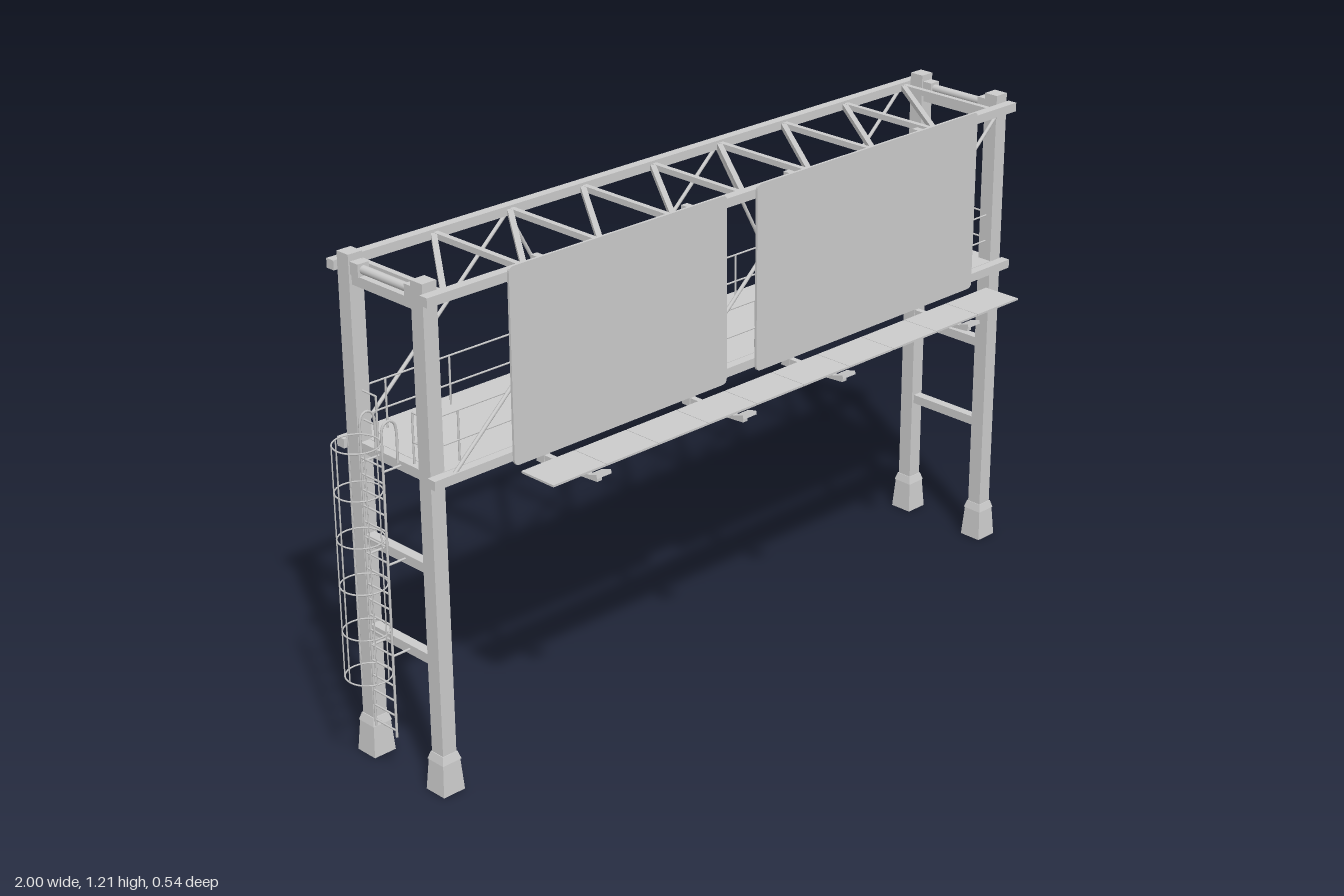
import * as THREE from 'three';

const mat = new THREE.MeshStandardMaterial({ color: 0xcccccc, side: THREE.DoubleSide });
const V = (x, y, z) => new THREE.Vector3(x, y, z);

function add(parent, name, geo, x = 0, y = 0, z = 0) {
  const m = new THREE.Mesh(geo, mat);
  m.name = name;
  m.position.set(x, y, z);
  parent.add(m);
  return m;
}

// Box given by its min and max corners
function box(parent, name, x0, x1, y0, y1, z0, z1) {
  return add(parent, name, new THREE.BoxGeometry(x1 - x0, y1 - y0, z1 - z0),
    (x0 + x1) / 2, (y0 + y1) / 2, (z0 + z1) / 2);
}

// Square bar between two points
function bar(parent, name, a, b, w, h = w) {
  const m = add(parent, name, new THREE.BoxGeometry(w, h, a.distanceTo(b)));
  m.position.lerpVectors(a, b, 0.5);
  m.lookAt(b);
  return m;
}

// Round rod between two points
function rod(parent, name, a, b, r, sides = 8) {
  const geo = new THREE.CylinderGeometry(r, r, a.distanceTo(b), sides).rotateX(Math.PI / 2);
  const m = add(parent, name, geo);
  m.position.lerpVectors(a, b, 0.5);
  m.lookAt(b);
  return m;
}

function group(parent, name) {
  const g = new THREE.Group();
  g.name = name;
  parent.add(g);
  return g;
}

const LEGX = [-0.847, 0.967], LEGZ = [0.02, -0.222];
const NODES = Array.from({ length: 9 }, (_, i) => -0.816 + i * 0.218);

function buildTowers(root) {
  for (const x of LEGX) {
    const g = group(root, 'endTower');
    for (const z of LEGZ) {
      box(g, 'post', x - 0.019, x + 0.019, 0.09, 1.203, z - 0.019, z + 0.019);
      // Tapered footing with a narrower collar
      const r = Math.SQRT1_2;
      const foot = new THREE.CylinderGeometry(0.049 * r, 0.06 * r, 0.078, 4).rotateY(Math.PI / 4).toNonIndexed();
      foot.computeVertexNormals();
      add(g, 'footing', foot, x, 0.039, z);
      const collar = new THREE.CylinderGeometry(0.042 * r, 0.053 * r, 0.019, 4).rotateY(Math.PI / 4).toNonIndexed();
      collar.computeVertexNormals();
      add(g, 'footingCollar', collar, x, 0.0865, z);
    }
    for (const y of [0.32, 0.541, 0.761, 1.147])
      box(g, 'towerCrossBeam', x - 0.012, x + 0.012, y - 0.012, y + 0.011, -0.205, 0.003);
    // Round tie with end blocks at the top
    rod(g, 'topTie', V(x, 1.172, -0.2), V(x, 1.172, 0), 0.01, 12);
    for (const z of [-0.19, -0.012])
      box(g, 'tieBlock', x - 0.015, x + 0.015, 1.157, 1.187, z - 0.013, z + 0.013);
  }
}

function buildTruss(root) {
  const g = group(root, 'truss');
  for (const y of [0.761, 1.171]) {
    for (const z of [0.052, -0.254])
      box(g, 'chord', -0.875, 0.993, y - 0.011, y + 0.011, z - 0.012, z + 0.012);
    // Struts and diagonals lying between the two chords
    NODES.forEach((x, i) => {
      bar(g, 'strut', V(x, y - 0.002, -0.242), V(x, y - 0.002, 0.04), 0.014);
      if (i < 8) bar(g, 'diagonal', V(x + 0.008, y - 0.002, 0.036), V(NODES[i + 1] - 0.008, y - 0.002, -0.238), 0.013);
    });
  }
  // Thin zigzag rods on the front and rear faces
  const low = 0.768, high = 1.163;
  const zig = [[0, low], [2, high], [3, low], [5, high], [6, low], [8, high]];
  for (const z of [0.056, -0.258])
    for (let i = 0; i < 5; i++) {
      const [a, ya] = zig[i], [b, yb] = zig[i + 1];
      rod(g, 'braceRod', V(NODES[a], ya, z), V(NODES[b], yb, z), 0.0045);
    }
}

function buildDeck(root) {
  const g = group(root, 'walkway');
  box(g, 'deck', -0.835, 0.955, 0.767, 0.773, -0.243, 0.041);
  // Side railings
  for (const z of LEGZ) {
    for (const y of [0.822, 0.89]) rod(g, 'handrail', V(LEGX[0], y, z), V(LEGX[1], y, z), 0.0025, 6);
    for (let i = 0; i < 10; i++) {
      const x = -0.77 + i * 0.179;
      rod(g, 'railPost', V(x, 0.77, z), V(x, 0.89, z), 0.0025, 6);
    }
  }
  // End railings; the ladder end has an opening
  LEGX.forEach((x, i) => {
    const spans = i ? [[-0.205, 0.003]] : [[-0.205, -0.158], [-0.037, 0.003]];
    for (const [a, b] of spans)
      for (const y of [0.822, 0.89]) rod(g, 'endRail', V(x, y, a), V(x, y, b), 0.0025, 6);
    for (const z of [-0.037, -0.158]) rod(g, 'endRailPost', V(x, 0.77, z), V(x, 0.89, z), 0.0025, 6);
  });
}

function buildPanels(root) {
  for (const [x0, x1] of [[-0.685, -0.048], [0.048, 0.805]]) {
    const r = 0.014, y0 = 0.757, y1 = 1.208;
    const s = new THREE.Shape();
    s.moveTo(x0 + r, y0);
    s.lineTo(x1 - r, y0); s.quadraticCurveTo(x1, y0, x1, y0 + r);
    s.lineTo(x1, y1 - r); s.quadraticCurveTo(x1, y1, x1 - r, y1);
    s.lineTo(x0 + r, y1); s.quadraticCurveTo(x0, y1, x0, y1 - r);
    s.lineTo(x0, y0 + r); s.quadraticCurveTo(x0, y0, x0 + r, y0);
    add(root, 'signPanel', new THREE.ExtrudeGeometry(s, { depth: 0.006, bevelEnabled: false, curveSegments: 5 }), 0, 0, 0.093);
  }
  for (const x of [-0.585, -0.147, 0.176, 0.615]) {
    const g = group(root, 'panelBracket');
    box(g, 'panelMount', x - 0.009, x + 0.009, 0.73, 1.203, 0.064, 0.089);
    // Side outlines (z, y) pulled across x: tapered arm, then tilted lamp
    const side = (name, pts, w) => {
      const s = new THREE.Shape(pts.map(([z, y]) => new THREE.Vector2(-z, y)));
      const geo = new THREE.ExtrudeGeometry(s, { depth: w, bevelEnabled: false }).rotateY(Math.PI / 2);
      add(g, name, geo, x - w / 2, 0, 0);
    };
    side('arm', [[0.064, 0.729], [0.064, 0.75], [0.255, 0.75], [0.255, 0.742]], 0.014);
    side('lampStem', [[0.24, 0.743], [0.24, 0.757], [0.255, 0.757], [0.255, 0.743]], 0.012);
    side('lamp', [[0.245, 0.749], [0.241, 0.759], [0.268, 0.767], [0.27, 0.758]], 0.042);
  }
  // Narrow service platform made of short plates
  const n = 10, x0 = -0.687, w = 1.524 / n;
  for (let i = 0; i < n; i++)
    box(root, 'servicePlate', x0 + i * w, x0 + (i + 1) * w - 0.0015, 0.75, 0.755, 0.122, 0.223);
}

function buildLadder(root) {
  const g = group(root, 'cagedLadder');
  const lx = -0.906, zs = [-0.069, -0.142];
  for (const z of zs) {
    // Stringer that hooks over onto the walkway
    rod(g, 'stringer', V(lx, 0.118, z), V(lx, 0.852, z), 0.003, 6);
    const hook = new THREE.CatmullRomCurve3([V(lx, 0.85, z), V(-0.901, 0.866, z), V(-0.887, 0.873, z),
      V(-0.873, 0.866, z), V(-0.867, 0.85, z), V(-0.866, 0.77, z)]);
    add(g, 'hook', new THREE.TubeGeometry(hook, 20, 0.003, 6));
    for (const y of [0.32, 0.541, 0.761]) rod(g, 'standoff', V(lx, y, z), V(-0.85, y, z), 0.003, 6);
  }
  for (let i = 0; i < 18; i++) {
    const y = 0.134 + i * 0.0375;
    rod(g, 'rung', V(lx, y, zs[0]), V(lx, y, zs[1]), 0.0025, 6);
  }
  // Safety cage: hoops joined by upright bars
  const cx = -0.946, cz = -0.105, R = 0.052;
  for (let i = 0; i < 6; i++)
    add(g, 'cageHoop', new THREE.TorusGeometry(R, 0.002, 5, 28).rotateX(Math.PI / 2), cx, 0.277 + i * 0.11, cz);
  for (let i = 0; i < 7; i++) {
    const a = Math.PI * (0.4 + i * 0.2);
    const x = cx + R * Math.cos(a), z = cz + R * Math.sin(a);
    rod(g, 'cageBar', V(x, 0.277, z), V(x, 0.827, z), 0.0017, 5);
  }
}

export function createModel() {
  const root = new THREE.Group();
  root.name = 'signGantry';
  buildTowers(root);
  buildTruss(root);
  buildDeck(root);
  buildPanels(root);
  buildLadder(root);
  return root;
}
